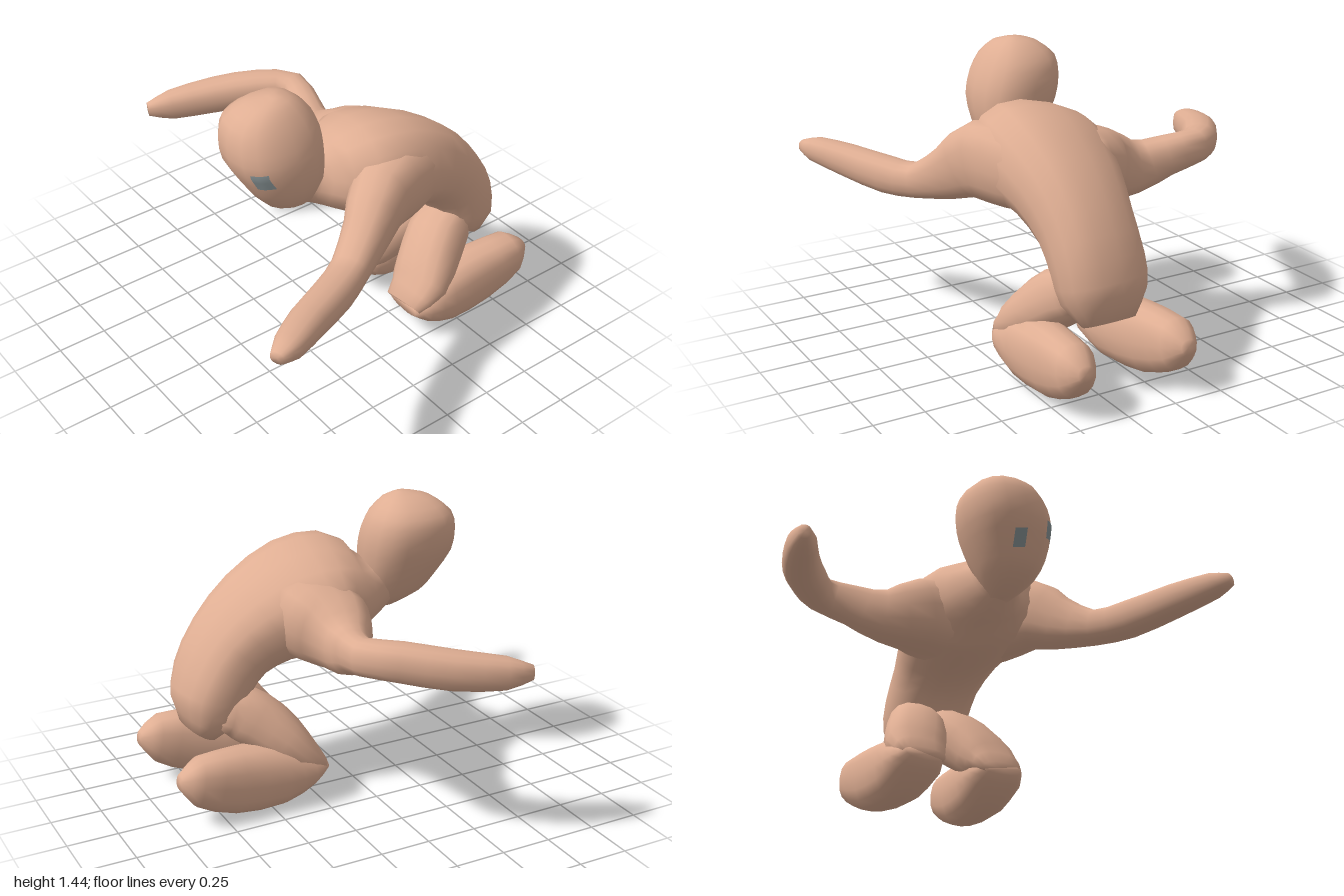
import * as THREE from 'three';

const skin = new THREE.MeshStandardMaterial({ color: 0xdfae93 });
const eyeBlue = new THREE.MeshStandardMaterial({ color: 0x8b9698 });
const SIDES = 16;
const rounded = v => Math.sign(v) * Math.abs(v) ** 0.84; // slightly boxy cross-section

const across = new THREE.Vector3(1, 0, 0);
const up = new THREE.Vector3(0, 1, 0);

// Smooth body tube. Each section is [x, y, z, radius along hint, radius across it].
// Rings stand square to the path unless a fixed axis is given.
function loft(name, sections, hint, axis) {
  const path = new THREE.CatmullRomCurve3(sections.map(s => new THREE.Vector3(s[0], s[1], s[2])), false, 'centripetal');
  const size = new THREE.CatmullRomCurve3(sections.map(s => new THREE.Vector3(s[3], s[4], 0)), false, 'catmullrom', 0.4);
  const rings = (sections.length - 1) * 2;
  const positions = [], index = [];
  for (let i = 0; i <= rings; i++) {
    const t = i / rings;
    const c = path.getPoint(t), r = size.getPoint(t), dir = axis ?? path.getTangent(t);
    const u = hint.clone().addScaledVector(dir, -hint.dot(dir)).normalize();
    const v = dir.clone().cross(u);
    for (let j = 0; j < SIDES; j++) {
      const a = j / SIDES * Math.PI * 2;
      const p = c.clone().addScaledVector(u, rounded(Math.cos(a)) * r.x).addScaledVector(v, rounded(Math.sin(a)) * r.y);
      positions.push(p.x, p.y, p.z);
    }
  }
  for (let i = 0; i < rings; i++) {
    for (let j = 0; j < SIDES; j++) {
      const k = (j + 1) % SIDES, a = i * SIDES + j, b = i * SIDES + k;
      index.push(a, b, b + SIDES, a, b + SIDES, a + SIDES);
    }
  }
  // closed ends
  const last = rings * SIDES, start = positions.length / 3;
  positions.push(...path.getPoint(0).toArray(), ...path.getPoint(1).toArray());
  for (let j = 0; j < SIDES; j++) {
    const k = (j + 1) % SIDES;
    index.push(start, k, j, start + 1, last + j, last + k);
  }
  const geo = new THREE.BufferGeometry();
  geo.setAttribute('position', new THREE.Float32BufferAttribute(positions, 3));
  geo.setIndex(index);
  geo.computeVertexNormals();
  const mesh = new THREE.Mesh(geo, skin);
  mesh.name = name;
  return mesh;
}

// Small patch draped over the front of the head
function eye(name, head, x, y) {
  const geo = new THREE.PlaneGeometry(0.06, 0.08, 4, 4);
  geo.rotateZ(0.15).translate(x, y, 0);
  const pos = geo.attributes.position;
  const ray = new THREE.Raycaster();
  for (let i = 0; i < pos.count; i++) {
    ray.set(new THREE.Vector3(pos.getX(i), pos.getY(i), 2), new THREE.Vector3(0, 0, -1));
    const hit = ray.intersectObject(head)[0];
    pos.setZ(i, (hit ? hit.point.z : 0.45) + 0.005);
  }
  geo.computeVertexNormals();
  const mesh = new THREE.Mesh(geo, eyeBlue);
  mesh.name = name;
  return mesh;
}

export function createModel() {
  const model = new THREE.Group();
  model.name = 'kneelingFigure';

  // Bent torso, from the seat over the back to the neck; its left shoulder is raised
  model.add(loft('torso', [
    [0.20, 0.35, -0.755, 0.14, 0.06],
    [0.20, 0.46, -0.71, 0.21, 0.15],
    [0.205, 0.60, -0.665, 0.23, 0.165],
    [0.21, 0.75, -0.565, 0.24, 0.18],
    [0.205, 0.87, -0.41, 0.28, 0.21],
    [0.195, 0.945, -0.21, 0.33, 0.245],
    [0.17, 0.97, -0.04, 0.335, 0.235],
    [0.14, 0.965, 0.09, 0.22, 0.17],
    [0.13, 0.98, 0.18, 0.13, 0.13],
    [0.13, 1.03, 0.27, 0.10, 0.10],
  ], new THREE.Vector3(Math.cos(0.28), Math.sin(0.28), 0)));

  // Head, from chin to crown, in level rings
  const head = loft('head', [
    [0.13, 0.86, 0.24, 0.05, 0.05],
    [0.13, 0.93, 0.295, 0.125, 0.135],
    [0.12, 1.03, 0.315, 0.178, 0.19],
    [0.095, 1.15, 0.34, 0.212, 0.23],
    [0.073, 1.25, 0.345, 0.21, 0.23],
    [0.058, 1.34, 0.345, 0.178, 0.20],
    [0.07, 1.41, 0.335, 0.105, 0.12],
    [0.085, 1.438, 0.315, 0.03, 0.03],
  ], across, up);
  model.add(head, eye('rightEye', head, 0.075, 1.05), eye('leftEye', head, 0.245, 1.13));

  // Arms, from inside the chest to the hand
  model.add(loft('rightArm', [
    [0.14, 0.94, -0.26, 0.19, 0.21],
    [0.0, 0.90, -0.20, 0.20, 0.22],
    [-0.13, 0.87, -0.165, 0.185, 0.19],
    [-0.30, 0.845, -0.185, 0.13, 0.115],
    [-0.45, 0.89, -0.235, 0.10, 0.085],
    [-0.60, 0.925, -0.265, 0.085, 0.08],
    [-0.72, 0.92, -0.14, 0.09, 0.09],
    [-0.84, 0.89, 0.05, 0.09, 0.09],
    [-0.93, 0.865, 0.27, 0.075, 0.07],
    [-0.968, 0.86, 0.385, 0.035, 0.03],
  ], up));
  model.add(loft('leftArm', [
    [0.26, 0.92, -0.46, 0.15, 0.15],
    [0.36, 0.95, -0.20, 0.19, 0.17],
    [0.445, 0.95, -0.01, 0.19, 0.145],
    [0.535, 0.865, 0.14, 0.135, 0.11],
    [0.63, 0.79, 0.31, 0.085, 0.09],
    [0.72, 0.79, 0.47, 0.09, 0.09],
    [0.83, 0.82, 0.69, 0.08, 0.085],
    [0.93, 0.85, 0.86, 0.06, 0.07],
    [0.967, 0.855, 0.945, 0.03, 0.035],
  ], up));

  // Folded legs, mirrored about the body's middle
  const thigh = [
    [0.10, 0.49, -0.70, 0.10, 0.10],
    [0.09, 0.455, -0.58, 0.145, 0.135],
    [0.03, 0.36, -0.45, 0.155, 0.135],
    [-0.03, 0.25, -0.33, 0.155, 0.10],
    [-0.04, 0.175, -0.22, 0.115, 0.035],
  ];
  const lowerLeg = [
    [-0.04, 0.175, -0.215, 0.105, 0.03],
    [-0.045, 0.165, -0.30, 0.147, 0.09],
    [-0.055, 0.16, -0.45, 0.147, 0.158],
    [-0.075, 0.18, -0.68, 0.12, 0.165],
    [-0.09, 0.225, -0.88, 0.10, 0.12],
    [-0.09, 0.24, -0.965, 0.04, 0.035],
  ];
  for (const side of ['right', 'left']) {
    const place = rows => rows.map(([x, ...rest]) => [side === 'right' ? x : 0.36 - x, ...rest]);
    const leg = new THREE.Group();
    leg.name = side + 'Leg';
    leg.add(loft(side + 'Thigh', place(thigh), across), loft(side + 'LowerLeg', place(lowerLeg), across));
    model.add(leg);
  }
  return model;
}
